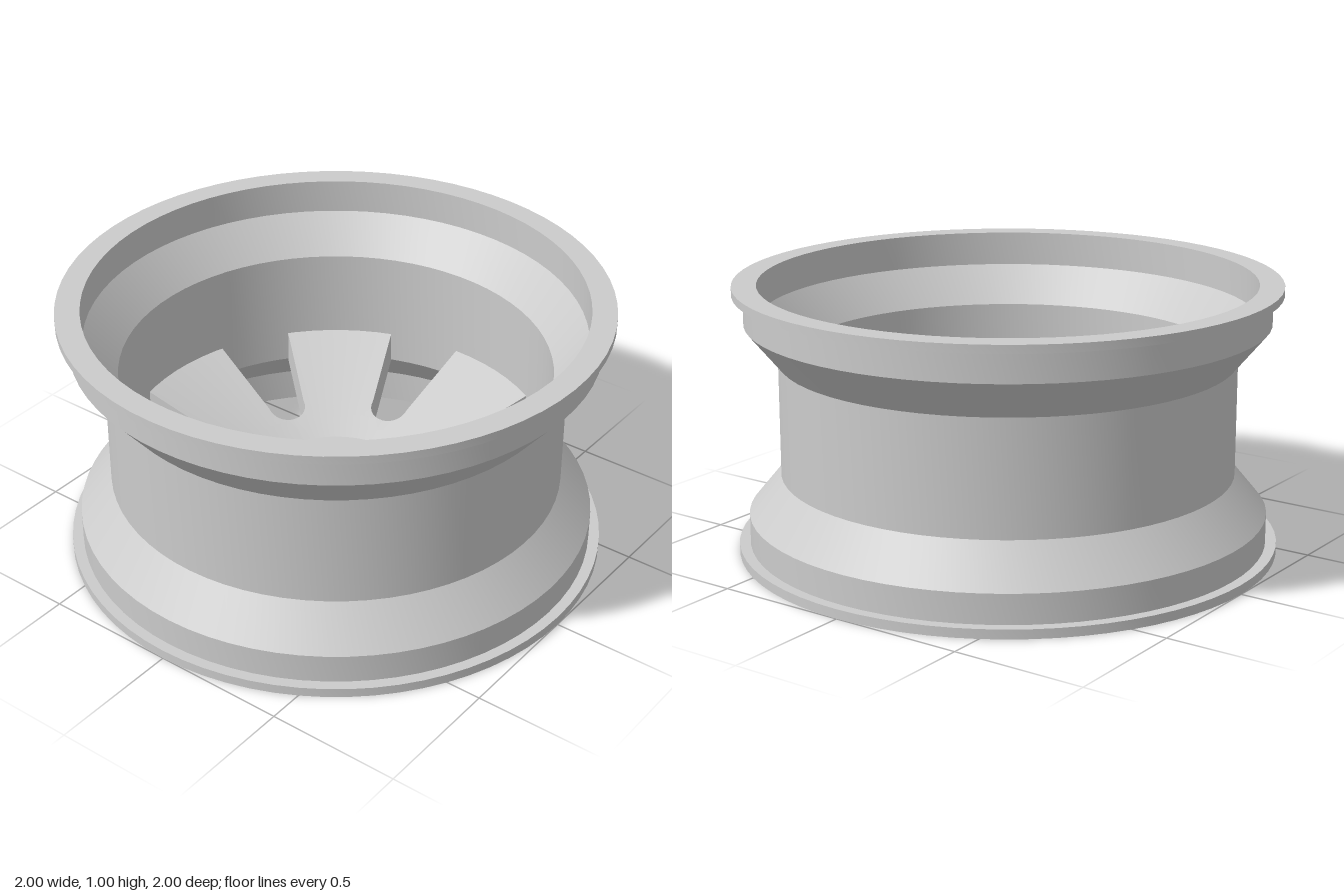
import * as THREE from 'three';
import { toCreasedNormals } from 'three/addons/utils/BufferGeometryUtils.js';

const SPOKES = 7, STEP = (2 * Math.PI) / SPOKES;
const FIRST_SPOKE = THREE.MathUtils.degToRad(36.3);
const CAP_R = 0.13, HUB_R = 0.3, SPOKE_R = 0.8;

// Heights of the dished wheel face: outer (lower) and inner (upper) side
const under = (r) => Math.max(0, (r - CAP_R) * 0.394);
const over = (r) => 0.2 + Math.max(0, r - HUB_R) * 0.388;

// Half width of the slot between two spokes: round inner end, then widening
const SLOT_IN = 0.4, SLOT_W = 0.073, SLOT_C = SLOT_IN + SLOT_W;
function slotHalfWidth(r) {
  if (r <= SLOT_IN) return 0;
  if (r < SLOT_C) return Math.sqrt(SLOT_W ** 2 - (SLOT_C - r) ** 2);
  return SLOT_W + ((r - SLOT_C) / (0.78 - SLOT_C)) * (0.141 - SLOT_W);
}

// One spoke with its share of the hub, as a polar grid with side walls
function spokeGeometry() {
  const radii = [HUB_R, 0.35];
  for (let i = 0; i <= 10; i++) radii.push(SLOT_IN + SLOT_W * (1 - Math.cos((i / 10) * Math.PI / 2)));
  for (let i = 1; i <= 5; i++) radii.push(SLOT_C + ((SPOKE_R - SLOT_C) * i) / 5);
  const N = 10, pos = [];
  const point = (i, j, height) => {
    const r = radii[i];
    const half = STEP / 2 - Math.asin(slotHalfWidth(r) / r);
    const a = half * ((2 * j) / N - 1);
    return [r * Math.cos(a), height(r), -r * Math.sin(a)];
  };
  const quad = (a, b, c, d) => pos.push(...a, ...b, ...c, ...a, ...c, ...d);
  for (let i = 0; i < radii.length - 1; i++) {
    for (let j = 0; j < N; j++) {
      quad(point(i, j, over), point(i + 1, j, over), point(i + 1, j + 1, over), point(i, j + 1, over));
      quad(point(i, j, under), point(i, j + 1, under), point(i + 1, j + 1, under), point(i + 1, j, under));
    }
    if (radii[i + 1] > SLOT_IN + 1e-6) {
      quad(point(i, N, under), point(i, N, over), point(i + 1, N, over), point(i + 1, N, under));
      quad(point(i, 0, under), point(i + 1, 0, under), point(i + 1, 0, over), point(i, 0, over));
    }
  }
  const g = new THREE.BufferGeometry();
  g.setAttribute('position', new THREE.Float32BufferAttribute(pos, 3));
  return toCreasedNormals(g, 0.3);
}

export function createModel() {
  const group = new THREE.Group();
  const mat = new THREE.MeshStandardMaterial({ color: 0xcccccc });
  const open = new THREE.MeshStandardMaterial({ color: 0xcccccc, side: THREE.DoubleSide });
  const add = (name, geometry, material = mat) => {
    const mesh = new THREE.Mesh(geometry, material);
    mesh.name = name;
    group.add(mesh);
    return mesh;
  };

  // Rim barrel: outer wall upwards, inner wall back down
  const profile = [
    [1, 0], [1, 0.035], [0.96, 0.035], [0.96, 0.145], [0.84, 0.29],
    [0.84, 0.715], [0.96, 0.86], [0.96, 0.97], [1, 0.97], [1, 1],
    [0.91, 1], [0.91, 0.87], [0.79, 0.73], [0.79, 0.27], [0.91, 0.13], [0.91, 0], [1, 0],
  ].map(([x, y]) => new THREE.Vector2(x, y));
  add('rimBarrel', toCreasedNormals(new THREE.LatheGeometry(profile, 72), 0.3));

  // Spokes
  const spoke = spokeGeometry();
  for (let k = 0; k < SPOKES; k++) add('spoke', spoke).rotation.y = FIRST_SPOKE + k * STEP;

  // Hub: flat inner side and centre cap
  add('hubInnerFace', new THREE.CircleGeometry(HUB_R, 70).rotateX(-Math.PI / 2).translate(0, over(0), 0));
  add('centreCap', new THREE.CircleGeometry(CAP_R, 48).rotateX(Math.PI / 2));

  // Hub: conical outer side pierced by the bolt recesses
  const face = new THREE.Shape().absarc(0, 0, HUB_R, 0, 2 * Math.PI);
  face.holes.push(new THREE.Path().absarc(0, 0, CAP_R, 0, 2 * Math.PI, true));
  const BOLT_R = 0.045, FLOOR = 0.1;
  for (let k = 0; k < 5; k++) {
    const a = THREE.MathUtils.degToRad(54 + 72 * k);
    const x = 0.21 * Math.cos(a), z = -0.21 * Math.sin(a);
    face.holes.push(new THREE.Path().absarc(x, z, BOLT_R, 0, 2 * Math.PI, true));

    // Recess wall, cut off along the cone
    const wall = new THREE.CylinderGeometry(BOLT_R, BOLT_R, FLOOR, 24, 1, true).translate(x, FLOOR / 2, z);
    const p = wall.attributes.position;
    for (let i = 0; i < p.count; i++) {
      if (p.getY(i) < FLOOR / 2) p.setY(i, under(Math.hypot(p.getX(i), p.getZ(i))));
    }
    add('boltRecess', wall, open);
    add('boltRecessFloor', new THREE.CircleGeometry(BOLT_R, 24).rotateX(Math.PI / 2).translate(x, FLOOR, z));
    add('bolt', new THREE.CylinderGeometry(0.02, 0.02, 0.05, 16).translate(x, FLOOR - 0.025, z));
  }
  const hub = new THREE.ShapeGeometry(face, 36).rotateX(Math.PI / 2);
  const hp = hub.attributes.position;
  for (let i = 0; i < hp.count; i++) hp.setY(i, under(Math.hypot(hp.getX(i), hp.getZ(i))));
  add('hubOuterFace', toCreasedNormals(hub, 0.3));

  return group;
}
